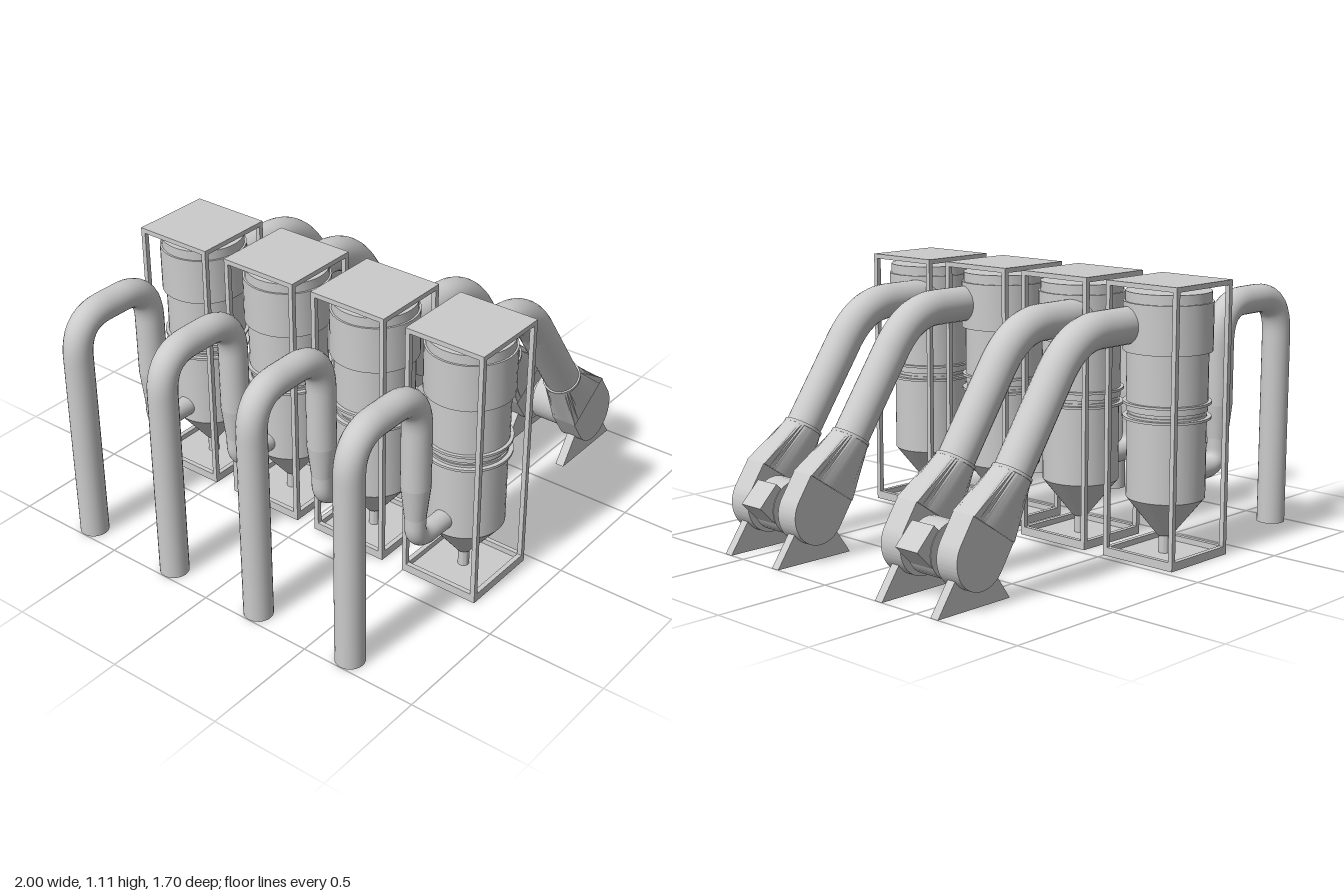
import * as THREE from 'three';
import { toCreasedNormals } from 'three/addons/utils/BufferGeometryUtils.js';

const mat = new THREE.MeshStandardMaterial({ color: 0xcccccc });
const matOpen = new THREE.MeshStandardMaterial({ color: 0xcccccc, side: THREE.DoubleSide });
const V = (x, y) => new THREE.Vector3(x, y, 0);

function add(parent, name, geo, x = 0, y = 0, z = 0, material = mat) {
  const m = new THREE.Mesh(geo, material);
  m.name = name;
  m.position.set(x, y, z);
  parent.add(m);
  return m;
}

const box = (w, h, d) => new THREE.BoxGeometry(w, h, d);

// Pipe along straight runs joined by curved bends: each item is [end] or [control, end]
function pipe(start, runs, radius, segments = 64) {
  const path = new THREE.CurvePath();
  let p = start;
  for (const r of runs) {
    const end = r[r.length - 1];
    path.add(r.length === 1 ? new THREE.LineCurve3(p, end) : new THREE.QuadraticBezierCurve3(p, r[0], end));
    p = end;
  }
  return new THREE.TubeGeometry(path, segments, radius, 24);
}

// Open frame: base tray, four posts and a top plate
function makeFrame() {
  const g = new THREE.Group();
  g.name = 'supportFrame';
  const w = 0.35, t = 0.02, h = w / 2 - t / 2;
  add(g, 'basePlate', box(w, 0.012, w), 0, 0.006, 0);
  add(g, 'topPlate', box(w, 0.02, w), 0, 1.1, 0);
  for (const a of [-1, 1]) {
    add(g, 'baseRail', box(w, 0.035, t), 0, 0.0175, a * h);
    add(g, 'baseRail', box(t, 0.035, w - 2 * t), a * h, 0.0175, 0);
    for (const b of [-1, 1]) add(g, 'post', box(t, 1.06, t), a * h, 0.56, b * h);
  }
  return g;
}

// Separator vessel: cone bottom, barrel, wide head and flange rings
function makeVessel() {
  const g = new THREE.Group();
  g.name = 'separatorVessel';
  const profile = [
    [0, 0.01], [0.023, 0.01], [0.023, 0.085], [0.03, 0.085], [0.158, 0.245], [0.158, 0.585],
    [0.152, 0.585], [0.152, 0.598], [0.162, 0.598], [0.162, 0.835], [0.178, 0.835], [0.178, 1.03],
    [0.17, 1.03], [0.17, 1.07], [0, 1.07],
  ].map(([x, y]) => new THREE.Vector2(x, y));
  add(g, 'vesselBody', toCreasedNormals(new THREE.LatheGeometry(profile, 40), 0.5));
  for (const y of [0.57, 0.63]) add(g, 'flangeRing', new THREE.CylinderGeometry(0.176, 0.176, 0.01, 40), 0, y, 0);
  return g;
}

// Arched riser that drops, narrows and turns into the vessel side
function makeRiser() {
  const g = new THREE.Group();
  g.name = 'riserPipe';
  add(g, 'archPipe', pipe(V(-0.94, 0), [
    [V(-0.94, 0.82)],
    [V(-0.94, 0.98), V(-0.79, 0.98)],
    [V(-0.69, 0.98)],
    [V(-0.543, 0.98), V(-0.543, 0.82)],
    [V(-0.543, 0.57)],
  ], 0.059));
  add(g, 'pipeFoot', new THREE.CylinderGeometry(0.059, 0.059, 0.006, 24), -0.94, 0.003, 0);
  add(g, 'reducer', new THREE.CylinderGeometry(0.059, 0.043, 0.14, 24, 1, true), -0.543, 0.5, 0, matOpen);
  add(g, 'inletElbow', pipe(V(-0.543, 0.43), [
    [V(-0.543, 0.39)],
    [V(-0.543, 0.312), V(-0.45, 0.312)],
    [V(-0.33, 0.312)],
  ], 0.042, 32));
  return g;
}

// Loft from a round opening at x = 0 to a rectangle at x = len
function roundToRect(radius, len, v0, v1, halfZ) {
  const n = 48, pos = [], idx = [];
  for (let i = 0; i <= n; i++) {
    const a = (i / n) * Math.PI * 2 + Math.PI / 4;
    const c = Math.cos(a), s = Math.sin(a), k = 1 / Math.max(Math.abs(c), Math.abs(s));
    pos.push(0, radius * c, radius * s);
    pos.push(len, (v0 + v1) / 2 + (c * k * (v1 - v0)) / 2, s * k * halfZ);
    if (i < n) idx.push(2 * i, 2 * i + 2, 2 * i + 1, 2 * i + 1, 2 * i + 2, 2 * i + 3);
  }
  const geo = new THREE.BufferGeometry();
  geo.setAttribute('position', new THREE.Float32BufferAttribute(pos, 3));
  geo.setIndex(idx);
  geo.computeVertexNormals();
  return toCreasedNormals(geo, 0.5);
}

// Sloping duct, its adapter, the fan casing and the foot
function makeFanDuct() {
  const g = new THREE.Group();
  g.name = 'fanDuct';
  add(g, 'slopingDuct', pipe(V(-0.17, 0.94), [
    [V(0.12, 0.94)],
    [V(0.275, 0.94), V(0.38, 0.78)],
    [V(0.6, 0.463)],
  ], 0.074));

  // Local +x runs down the slope
  const fan = new THREE.Group();
  fan.name = 'fanHousing';
  fan.position.set(0.6, 0.463, 0);
  fan.rotation.z = Math.atan2(-0.83, 0.56);
  g.add(fan);
  const ring = add(fan, 'ductFlange', new THREE.CylinderGeometry(0.081, 0.081, 0.012, 32));
  ring.rotation.z = Math.PI / 2;
  const v = 0.025, r = 0.125, u0 = 0.226, u1 = 0.34, depth = 0.104;
  add(fan, 'squareAdapter', roundToRect(0.078, u0, v - r, v + r, 0.056), 0, 0, 0, matOpen);
  const s = new THREE.Shape();
  s.moveTo(u0, v - r);
  s.lineTo(u1, v - r);
  s.absarc(u1, v, r, -Math.PI / 2, Math.PI / 2, false);
  s.lineTo(u0, v + r);
  s.closePath();
  const casing = new THREE.ExtrudeGeometry(s, { depth, bevelEnabled: false, curveSegments: 24 });
  add(fan, 'fanCasing', toCreasedNormals(casing, 0.5), 0, 0, -depth / 2);

  const foot = new THREE.Shape([[0.63, 0], [1, 0], [0.86, 0.2], [0.77, 0.2]].map(p => new THREE.Vector2(...p)));
  add(g, 'fanFoot', new THREE.ExtrudeGeometry(foot, { depth: 0.038, bevelEnabled: false }), 0, 0, -0.019);
  return g;
}

// Motor shared by two fans, with shaft and slanted terminal box
function makeMotor() {
  const g = new THREE.Group();
  g.name = 'fanMotor';
  g.position.set(0.822, 0.2, 0);
  const shaft = add(g, 'driveShaft', new THREE.CylinderGeometry(0.055, 0.055, 0.24, 24));
  const body = add(g, 'motorBody', new THREE.CylinderGeometry(0.11, 0.11, 0.122, 24));
  shaft.rotation.x = body.rotation.x = Math.PI / 2;
  const tb = add(g, 'terminalBox', box(0.14, 0.12, 0.116), 0.081, 0.018, 0);
  tb.rotation.z = Math.PI / 4;
  return g;
}

export function createModel() {
  const model = new THREE.Group();
  model.name = 'dustCollectorBank';
  // Two pairs of units; each pair shares one motor
  for (const side of [-1, 1]) {
    const pair = new THREE.Group();
    pair.name = 'unitPair';
    pair.position.z = side * 0.446;
    model.add(pair);
    pair.add(makeMotor());
    for (const s of [-1, 1]) {
      const frame = makeFrame(), vessel = makeVessel(), riser = makeRiser(), duct = makeFanDuct();
      frame.position.set(-0.21, 0, s * 0.225);
      vessel.position.set(-0.208, 0, s * 0.225);
      riser.position.z = s * 0.225;
      duct.position.z = s * 0.147;
      pair.add(frame, vessel, riser, duct);
    }
  }
  return model;
}
